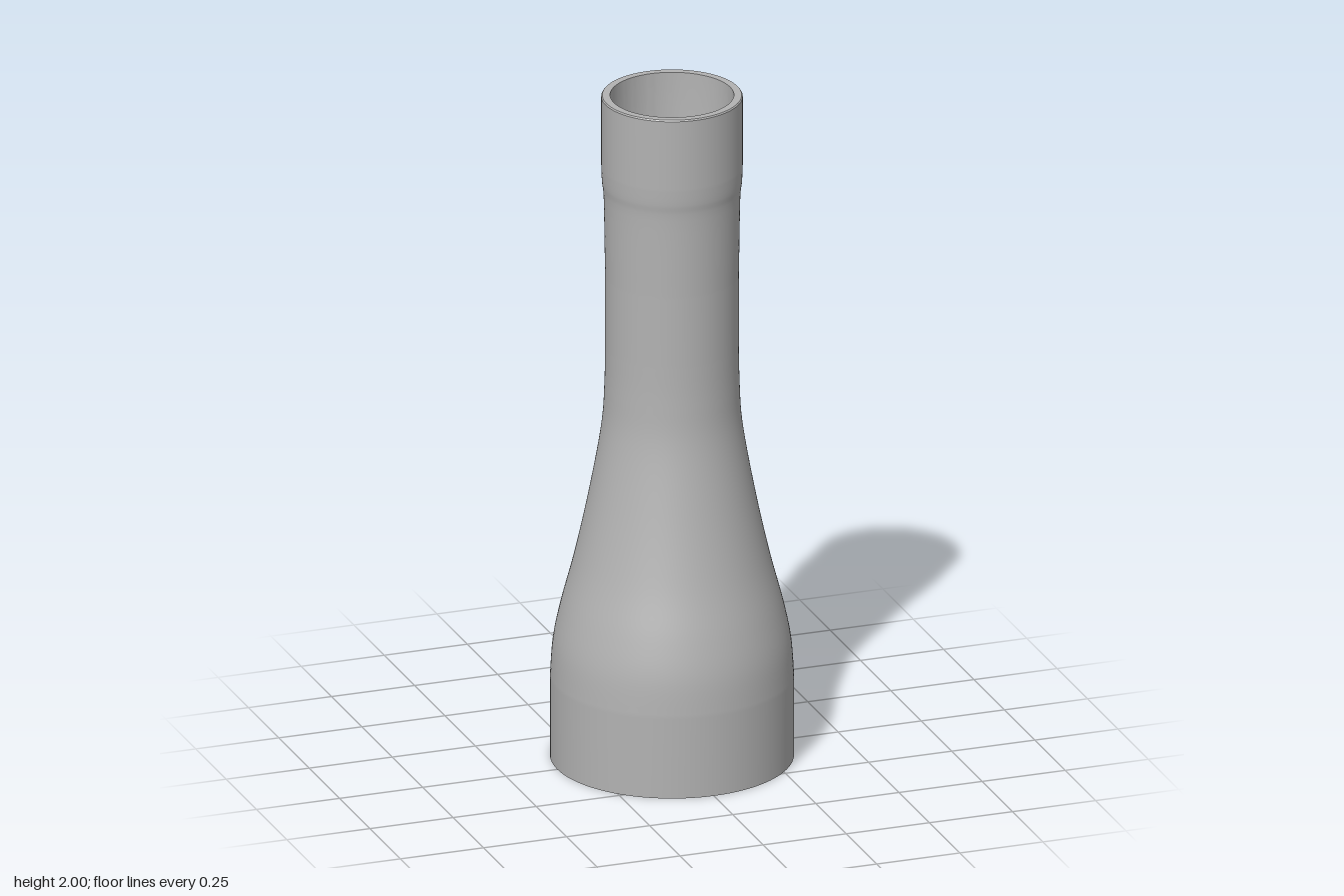
import * as THREE from 'three';
import { toCreasedNormals } from 'three/addons/utils/BufferGeometryUtils.js';

const v = (r, y) => new THREE.Vector2(r, y);

// Smooth curve through [radius, height] pairs
const smooth = (pairs, steps) =>
  new THREE.SplineCurve(pairs.map(([r, y]) => v(r, y))).getPoints(steps);

// Opposite pairs of L-shaped locking grooves cut in the base bore
const GROOVE_RADIUS = 0.332;
function inGroove(phi, y) {
  const a = ((THREE.MathUtils.radToDeg(phi) % 180) + 180) % 180;
  const entry = a > 76.5 && a < 89.5 && y < 0.178;
  const lock = a > 76.5 && a < 103.5 && y > 0.128 && y < 0.178;
  return entry || lock;
}

function cutGrooves(geometry) {
  const p = geometry.attributes.position;
  for (let i = 0; i < p.count; i++) {
    const r = Math.hypot(p.getX(i), p.getZ(i));
    const phi = Math.atan2(p.getX(i), p.getZ(i));
    if (r < GROOVE_RADIUS && inGroove(phi, p.getY(i))) {
      const k = GROOVE_RADIUS / r;
      p.setX(i, p.getX(i) * k);
      p.setZ(i, p.getZ(i) * k);
    }
  }
  return geometry;
}

export function createModel() {
  const grey = new THREE.MeshStandardMaterial({ color: 0xb2b2b2 });
  grey.name = 'grey plastic';
  const group = new THREE.Group();
  group.name = 'taperedAdapter';

  const add = (name, geometry) => {
    const mesh = new THREE.Mesh(geometry, grey);
    mesh.name = name;
    group.add(mesh);
  };

  // Outer wall: straight base, bell-shaped taper, slim neck, wider collar
  const bell = smooth([
    [0.345, 0.24], [0.337, 0.35], [0.315, 0.46], [0.276, 0.61], [0.235, 0.8],
    [0.2, 1.0], [0.191, 1.13], [0.189, 1.25],
  ], 40);
  const neck = smooth([[0.189, 1.45], [0.19, 1.52], [0.193, 1.69], [0.198, 1.74], [0.2, 1.79]], 16);
  add('outerWall', new THREE.LatheGeometry(
    [v(0.345, 0), ...bell, ...neck, v(0.2, 1.996)], 128));

  // Top rim with a tiny outer bevel
  add('topRim', toCreasedNormals(new THREE.LatheGeometry(
    [v(0.2, 1.996), v(0.197, 2), v(0.175, 2)], 128), 0.5));

  // Upper bore: collar socket, stepped shoulder, then the flared inside
  const flare = smooth([
    [0.165, 1.25], [0.167, 1.13], [0.176, 1.0], [0.209, 0.8], [0.248, 0.61],
    [0.286, 0.46], [0.306, 0.35], [0.313, 0.24],
  ], 40);
  add('bore', toCreasedNormals(new THREE.LatheGeometry(
    [v(0.175, 2), v(0.173, 1.79), v(0.165, 1.72), ...flare], 128), 0.5));

  // Base socket with locking grooves, and the bottom rim
  const rows = [0.24, 0.18, 0.176, 0.13, 0.126, 0.008].map((y) => v(0.313, y));
  add('baseSocket', toCreasedNormals(cutGrooves(new THREE.LatheGeometry(
    [...rows, v(0.32, 0), v(0.345, 0)], 360)), 0.5));

  return group;
}
